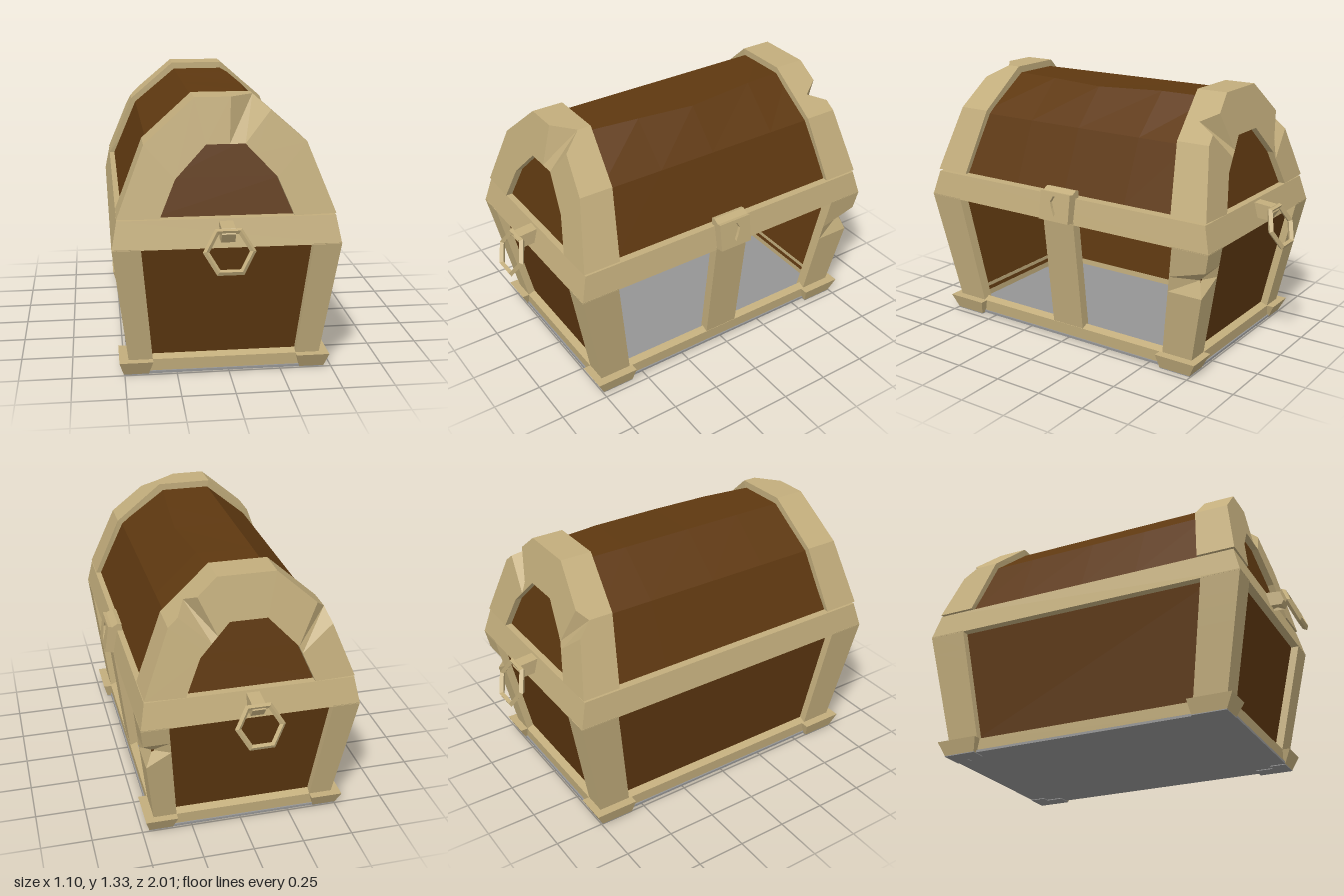
import * as THREE from 'three';

const mat = (name, color) => {
  const m = new THREE.MeshStandardMaterial({ color, side: THREE.DoubleSide });
  m.name = name;
  return m;
};
const lerp = THREE.MathUtils.lerp;

// Flat-shaded geometry through cross-sections of [x, y, z] points
function loft(sections, { ring = false, open = false } = {}) {
  const tris = [], n = sections.length, k = sections[0].length;
  for (let i = 0; i < (ring ? n : n - 1); i++) {
    const a = sections[i], b = sections[(i + 1) % n];
    for (let j = 0; j < (open ? k - 1 : k); j++) {
      const q = (j + 1) % k;
      tris.push([a[j], a[q], b[q]], [a[j], b[q], b[j]]);
    }
  }
  if (!ring && !open) {
    const s = sections[0], e = sections[n - 1];
    for (let j = 1; j < k - 1; j++) tris.push([s[0], s[j + 1], s[j]], [e[0], e[j], e[j + 1]]);
  }
  // Turn solids outward, open sheets upward
  let sum = 0;
  for (const [a, b, c] of tris) {
    const A = new THREE.Vector3(...a), B = new THREE.Vector3(...b), C = new THREE.Vector3(...c);
    sum += A.dot(B.cross(C));
  }
  if (sum < 0) tris.forEach(t => t.reverse());
  const g = new THREE.BufferGeometry();
  g.setAttribute('position', new THREE.Float32BufferAttribute(tris.flat(2), 3));
  g.computeVertexNormals();
  return g;
}

// L-shaped corner piece; level = [y, outerX, outerZ, innerX, innerZ, chip]
function corner(levels, t, sx, sz) {
  return loft(levels.map(([y, ox, oz, ix, iz, chip = 0]) => [
    [ox - t, oz - t], [ox - t, iz], [ox, iz], [ox - chip, oz - chip], [ix, oz], [ix, oz - t],
  ].map(([x, z]) => [x * sx, y, z * sz])));
}

// Rectangular frame swept round a profile of [halfX, y, halfZ]
const frame = profile => loft(
  [[1, 1], [-1, 1], [-1, -1], [1, -1]].map(([sx, sz]) => profile.map(([x, y, z]) => [x * sx, y, z * sz])),
  { ring: true });

// Lid arch profiles, sampled by a running corner number u
const mirrorArch = p => [...p.map(([x, y]) => [-x, y]), ...[...p].reverse()];
const OUTER = mirrorArch([[0.505, 0.795], [0.375, 1.12], [0.14, 1.325]]);
const INNER = mirrorArch([[0.31, 0.79], [0.235, 0.965], [0.09, 1.116]]);
const ROOF = mirrorArch([[0.478, 0.795], [0.352, 1.1], [0.13, 1.29]]);
const at = (p, u) => {
  const i = Math.min(Math.floor(u), p.length - 2), f = u - i;
  return [lerp(p[i][0], p[i + 1][0], f), lerp(p[i][1], p[i + 1][1], f)];
};
const lidOuterZ = y => 0.825 - (y - 0.795) * 0.21;
const lidInnerZ = y => 0.635 - (y - 0.795) * 0.152;
const bodyX = y => 0.46 + (y - 0.07) * 0.119;
const bodyZ = y => 0.74 + (y - 0.07) * 0.195;

// Arched end band; chips = { u: depth } nicks in its outer edge
function archBand(us, chips, sz) {
  return loft(us.map(u => {
    const [ox, oy] = at(OUTER, u), [ix, iy] = at(INNER, u), [rx, ry] = at(ROOF, u);
    const zo = lidOuterZ(oy), zi = lidInnerZ(oy), ze = lidOuterZ(iy);
    return [
      [ox, oy, zo - (chips[u] || 0)], [ox, oy, zi], [rx * 0.94, Math.max(0.795, ry - 0.03), zi],
      [ix, iy, ze - 0.05], [ix, iy, ze],
    ].map(([x, y, z]) => [x, y, z * sz]);
  }));
}

export function createModel() {
  const wood = mat('brown wood', 0x5e3810);
  const trim = mat('tan trim', 0xc2ad7c);
  const grey = mat('grey base', 0x959595);

  const root = new THREE.Group();
  root.name = 'chest';
  const body = new THREE.Group();
  body.name = 'body';
  const lid = new THREE.Group();
  lid.name = 'lid';
  body.position.x = lid.position.x = -0.02;
  root.add(body, lid);
  const add = (parent, name, geo, material, x = 0, y = 0, z = 0) => {
    const m = new THREE.Mesh(geo, material);
    m.name = name;
    m.position.set(x, y, z);
    parent.add(m);
    return m;
  };

  // Floor and rails
  add(body, 'floor', new THREE.BoxGeometry(0.93, 0.012, 1.49), grey, 0, 0.01, 0);
  add(body, 'bottomRail', frame([[0.458, 0.012, 0.737], [0.462, 0.075, 0.742], [0.425, 0.09, 0.70], [0.42, 0.012, 0.70]]), trim);
  add(body, 'topRail', frame([[0.53, 0.655, 0.855], [0.505, 0.785, 0.82], [0.45, 0.785, 0.765], [0.475, 0.655, 0.80]]), trim);

  // Corner posts and feet, one post chipped
  for (const sx of [1, -1]) for (const sz of [1, -1]) {
    const chip = sx > 0 && sz < 0 ? 0.045 : 0;
    const post = [[0.07, 0], [0.42, 0], [0.5, chip], [0.56, 0], [0.66, 0]].map(([y, c]) => {
      const f = (y - 0.07) / 0.59;
      return [y, bodyX(y), bodyZ(y), lerp(0.345, 0.3975, f), lerp(0.575, 0.66, f), c];
    });
    add(body, 'cornerPost', corner(post, 0.055, sx, sz), trim);
    add(body, 'foot', corner([[0.004, 0.485, 0.745, 0.365, 0.575], [0.075, 0.505, 0.78, 0.345, 0.56]], 0.08, sx, sz), trim);
    add(body, 'footSole', corner([[0, 0.485, 0.745, 0.365, 0.575], [0.004, 0.485, 0.745, 0.365, 0.575]], 0.08, sx, sz), grey);
  }

  // Recessed wood panels: both ends and the hinge side
  const lo = 0.05, hi = 0.7, inset = 0.04;
  for (const s of [1, -1]) {
    add(body, 'endPanel', loft([lo, hi].map(y =>
      [-1, 1].map(d => [d * (bodyX(y) - inset), y, s * (bodyZ(y) - inset)])), { open: true }), wood);
  }
  add(body, 'hingeSidePanel', loft([lo, hi].map(y =>
    [-1, 1].map(d => [-(bodyX(y) - inset), y, d * (bodyZ(y) - inset)])), { open: true }), wood);

  // Centre post on the lock side
  add(body, 'centrePost', loft([0.07, 0.67].map(y => {
    const x = bodyX(y);
    return [[x, y, 0.093], [x, y, -0.093], [x - 0.05, y, -0.093], [x - 0.05, y, 0.093]];
  })), trim);

  // Lock: wedge-shaped body with a faceted keyhole plate
  const lock = new THREE.Group();
  lock.name = 'lock';
  root.add(lock);
  const side = [[0.46, 0.66], [0.5, 0.655], [0.535, 0.67], [0.515, 0.805], [0.48, 0.825], [0.46, 0.82]];
  add(lock, 'lockBody', loft([-0.09, 0.09].map(z => side.map(([x, y]) => [x, y, z]))), trim);
  const plate = new THREE.Shape([[-0.09, -0.075], [0.09, -0.075], [0.09, 0.07], [-0.09, 0.07]].map(p => new THREE.Vector2(...p)));
  plate.holes.push(new THREE.Path([[0, -0.05], [-0.018, -0.01], [-0.028, 0.02], [-0.012, 0.05], [0.012, 0.05], [0.028, 0.02], [0.018, -0.01]]
    .map(p => new THREE.Vector2(...p))));
  const face = add(lock, 'keyholePlate', new THREE.ExtrudeGeometry(plate, { depth: 0.018, bevelEnabled: false }), trim, 0.523, 0.74, 0);
  face.rotation.set(0, Math.PI / 2, 0);
  face.rotateX(-0.146);

  // Lid bands with nicked edges, and the end panels behind them
  const bands = [
    [1, [0, 1, 2, 2.6, 3, 3.3, 4, 5], { 3: 0.09 }],
    [-1, [0, 0.8, 1, 1.2, 2, 3, 3.4, 3.6, 3.8, 4, 5], { 1: 0.05, 3.6: 0.09 }],
  ];
  for (const [s, us, chips] of bands) {
    add(lid, 'lidBand', archBand(us, chips, s), trim);
    add(lid, 'lidEndPanel', loft([0, 1, 2].map(i => {
      const x = INNER[5 - i][0] + 0.03, y = INNER[i][1] + (i === 2 ? 0.02 : 0);
      return [-1, 1].map(d => [d * x, y, s * (lidOuterZ(y) - 0.035)]);
    }), { open: true }), wood);
  }

  // Lid boards, with a worn uneven ridge on the lock side
  const wear = [[-0.64, 0, 0], [-0.36, 0.02, 0.005], [0, 0.045, -0.008], [0.3, 0.02, 0], [0.64, -0.02, 0]];
  add(lid, 'lidRoof', loft(wear.map(([z, dx, dy]) =>
    ROOF.map(([x, y], i) => (i === 3 ? [x + dx, y + dy, z] : [x, y, z]))), { open: true }), wood);

  // Hanging ring handles at both ends
  for (const s of [1, -1]) {
    const handle = new THREE.Group();
    handle.name = 'handle';
    handle.position.x = -0.027;
    handle.rotation.y = s > 0 ? 0 : Math.PI;
    const tab = [[0.7, 0.81], [0.775, 0.81], [0.765, 0.915], [0.74, 0.93], [0.695, 0.9], [0.715, 0.86]];
    add(handle, 'handleBracket', loft([-0.032, 0.032].map(x => tab.map(([y, z]) => [x, y, z]))), trim);
    const torus = new THREE.TorusGeometry(0.106, 0.015, 4, 6).toNonIndexed();
    torus.computeVertexNormals();
    add(handle, 'handleRing', torus, trim, 0, 0.667, 0.954).rotation.x = -0.4;
    root.add(handle);
  }
  return root;
}
